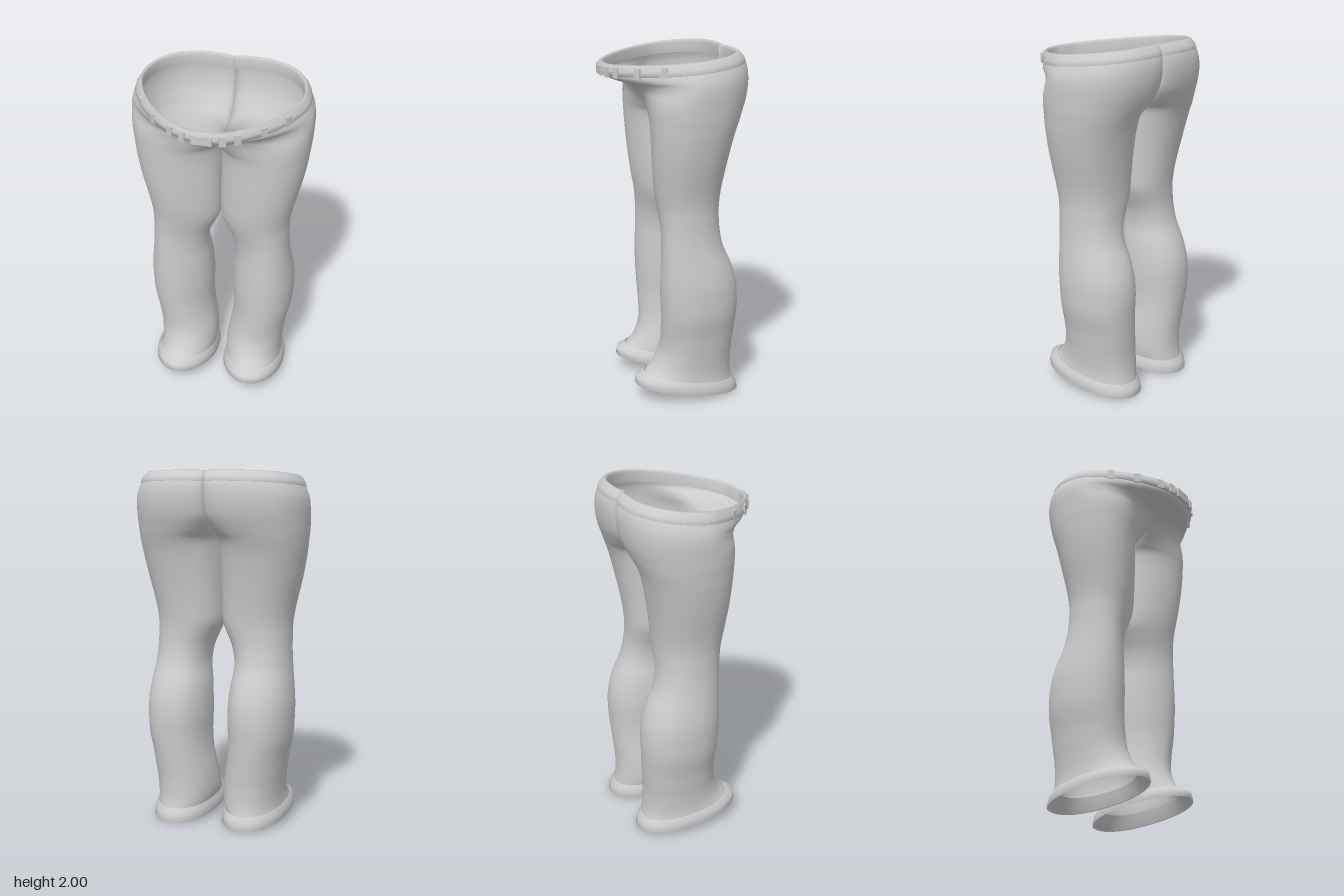
import * as THREE from 'three';
import { mergeVertices } from 'three/addons/utils/BufferGeometryUtils.js';

const QUARTER = 9; // steps per quarter of a half-ring

// Leg sections: y, inner x, outer x, back z, front z
const LEG = [
  [0.12, 0.042, 0.378, -0.325, 0.2], [0.17, 0.035, 0.374, -0.315, 0.16],
  [0.25, 0.04, 0.38, -0.312, 0.125], [0.32, 0.052, 0.39, -0.318, 0.112],
  [0.4, 0.065, 0.402, -0.325, 0.11], [0.5, 0.07, 0.423, -0.332, 0.113],
  [0.6, 0.066, 0.43, -0.335, 0.118], [0.7, 0.068, 0.43, -0.325, 0.12],
  [0.8, 0.075, 0.42, -0.295, 0.118], [0.9, 0.086, 0.407, -0.25, 0.115],
  [1.0, 0.07, 0.4, -0.23, 0.115], [1.08, 0.035, 0.4, -0.228, 0.122],
  [1.15, 0.006, 0.402, -0.232, 0.132], [1.25, 0.001, 0.418, -0.243, 0.148],
  [1.4, 0.001, 0.455, -0.268, 0.163], [1.54, 0.001, 0.482, -0.298, 0.172],
];
// Hip sections: y, outer x, x of back peak, x of front peak, back z, front z, cleft z, fly z
const HIP = [
  [1.62, 0.492, 0.22, 0.285, -0.325, 0.177, -0.05, -0.03],
  [1.66, 0.497, 0.2, 0.28, -0.343, 0.18, -0.17, 0.03],
  [1.7, 0.5, 0.18, 0.27, -0.36, 0.183, -0.25, 0.085],
  [1.75, 0.503, 0.16, 0.24, -0.38, 0.188, -0.31, 0.15],
  [1.8, 0.505, 0.15, 0.17, -0.392, 0.208, -0.335, 0.2],
  [1.84, 0.502, 0.14, 0.1, -0.395, 0.262, -0.345, 0.26],
  [1.865, 0.495, 0.135, 0.07, -0.393, 0.325, -0.346, 0.325],
  [1.89, 0.485, 0.13, 0.06, -0.387, 0.36, -0.345, 0.36],
  [1.915, 0.473, 0.13, 0.06, -0.376, 0.367, -0.34, 0.367],
];
// Turned hem: inside, bottom lip, outer face, top step
const CUFF = [
  [0.13, 0.05, 0.37, -0.3, 0.18], [0.057, 0.035, 0.39, -0.345, 0.245],
  [0.052, 0.025, 0.4, -0.36, 0.262], [0.095, 0.03, 0.395, -0.35, 0.255],
  [0.122, 0.041, 0.379, -0.326, 0.205],
];
// Waistband: outer face, rim, inside face
const BAND = [
  [1.9, 0.474, 0.13, 0.06, -0.376, 0.36, -0.34, 0.36],
  [1.905, 0.482, 0.13, 0.06, -0.383, 0.383, -0.345, 0.383],
  [1.93, 0.475, 0.13, 0.06, -0.374, 0.388, -0.342, 0.388],
  [1.96, 0.456, 0.13, 0.06, -0.348, 0.38, -0.325, 0.38],
  [1.966, 0.447, 0.13, 0.06, -0.336, 0.368, -0.315, 0.368],
  [1.95, 0.436, 0.13, 0.06, -0.322, 0.353, -0.3, 0.353],
  [1.89, 0.445, 0.13, 0.06, -0.33, 0.345, -0.305, 0.345],
];

const legSection = ([y, xi, xo, zb, zf]) => {
  const xm = (xi + xo) / 2, zm = (zb + zf) / 2 + 0.02;
  const lean = 0.045 * THREE.MathUtils.smoothstep(y, 0.2, 1.2); // crease sits outside the middle
  return [y, xi, xo, xm - lean * 0.4, xm + lean, zm, zb, zf, zm, zm];
};
const hipSection = ([y, xo, xb, xf, zb, zf, zb0, zf0]) => [y, 0, xo, xb, xf, -0.05, zb, zf, zb0, zf0];

// Point on a half-ring: t = 0 inner back, 1 back, 2 outer side, 3 front, 4 inner front
function ringPoint([y, xi, xo, xb, xf, zc, zb, zf, zb0, zf0], t) {
  // The hem dips to the back, the waist dips to the front
  const low = 1 - THREE.MathUtils.smoothstep(y, 0.12, 0.4);
  const high = THREE.MathUtils.smoothstep(y, 1.72, 1.92);
  const q = Math.min(3, Math.floor(t));
  const a = (t - q) * Math.PI / 2;
  const power = [0.9, 0.9, 0.95 + 0.35 * high, 1.1][q]; // higher is straighter
  const c = Math.pow(Math.max(0, Math.cos(a)), power), s = Math.pow(Math.max(0, Math.sin(a)), power);
  const [x, z] = [
    [xb + (xi - xb) * c, zb0 + (zb - zb0) * s],
    [xb + (xo - xb) * s, zc + (zb - zc) * c],
    [xf + (xo - xf) * c, zc + (zf - zc) * s],
    [xf + (xi - xf) * s, zf0 + (zf - zf0) * c],
  ][q];
  return new THREE.Vector3(x, y + z * (0.145 * low - 0.1 * high), z);
}

// Catmull-Rom refinement of a list of sections
function refine(rows, steps) {
  const out = [];
  for (let i = 0; i < rows.length - 1; i++) {
    const p = rows[Math.max(0, i - 1)], a = rows[i], b = rows[i + 1], n = rows[Math.min(rows.length - 1, i + 2)];
    for (let k = 0; k < steps; k++) {
      const t = k / steps;
      out.push(a.map((v, j) => {
        const m0 = (b[j] - p[j]) / 2, m1 = (n[j] - v) / 2, d = b[j] - v;
        return v + t * (m0 + t * (3 * d - 2 * m0 - m1 + t * (m0 + m1 - 2 * d)));
      }));
    }
  }
  out.push(rows[rows.length - 1]);
  return out;
}

// Skin the sections; sides lists +1 for the left half and -1 for its mirror
function loft(rows, sides) {
  const pos = [], idx = [], n = QUARTER * 4 + 1;
  for (const side of sides) {
    const base = pos.length / 3;
    for (const row of rows) {
      for (let i = 0; i < n; i++) {
        const p = ringPoint(row, i / QUARTER);
        pos.push(p.x * side, p.y, p.z);
      }
    }
    for (let r = 0; r < rows.length - 1; r++) {
      for (let i = 0; i < n - 1; i++) {
        const a = base + r * n + i, b = a + 1, c = a + n, d = c + 1;
        if (side > 0) idx.push(a, c, b, b, c, d);
        else idx.push(a, b, c, b, d, c);
      }
    }
  }
  let g = new THREE.BufferGeometry();
  g.setAttribute('position', new THREE.Float32BufferAttribute(pos, 3));
  g.setIndex(idx);
  g = mergeVertices(g, 1e-5);
  g.computeVertexNormals();
  return g;
}

export function createModel() {
  const group = new THREE.Group();
  group.name = 'trousers';
  const cloth = new THREE.MeshStandardMaterial({ color: 0xcccccc, side: THREE.DoubleSide });
  cloth.name = 'light grey cloth';
  const add = (geometry, name) => {
    const mesh = new THREE.Mesh(geometry, cloth);
    mesh.name = name;
    group.add(mesh);
    return mesh;
  };

  // Legs and hips in one continuous skin
  const body = [...LEG.map(legSection), ...HIP.map(hipSection)];
  add(loft(refine(body, 3), [1, -1]), 'legsAndHips');

  // Hems
  add(loft(CUFF.map(legSection), [1]), 'leftCuff');
  add(loft(CUFF.map(legSection), [-1]), 'rightCuff');

  // Waistband
  const band = BAND.map(hipSection);
  add(loft(band, [1, -1]), 'waistband');

  // Belt loops, turned to follow the band
  for (const side of [1, -1]) {
    for (const t of [2.35, 2.55, 2.75, 2.88]) {
      const p = ringPoint(band[2], t);
      const d = ringPoint(band[2], t + 0.02).sub(ringPoint(band[2], t - 0.02));
      const loop = add(new THREE.BoxGeometry(0.035, 0.055, 0.01), side > 0 ? 'leftBeltLoop' : 'rightBeltLoop');
      loop.position.set(p.x * side, p.y - 0.006, p.z);
      loop.rotation.y = Math.atan2(-d.z * side, d.x);
    }
  }

  // Front fastening and the small fold under the fly
  const front = ringPoint(band[2], 4);
  add(new THREE.BoxGeometry(0.11, 0.05, 0.014), 'waistFastening').position.copy(front).y -= 0.006;
  add(new THREE.BoxGeometry(0.03, 0.02, 0.015), 'flyFold').position.set(0, 1.65, 0.025);
  return group;
}
